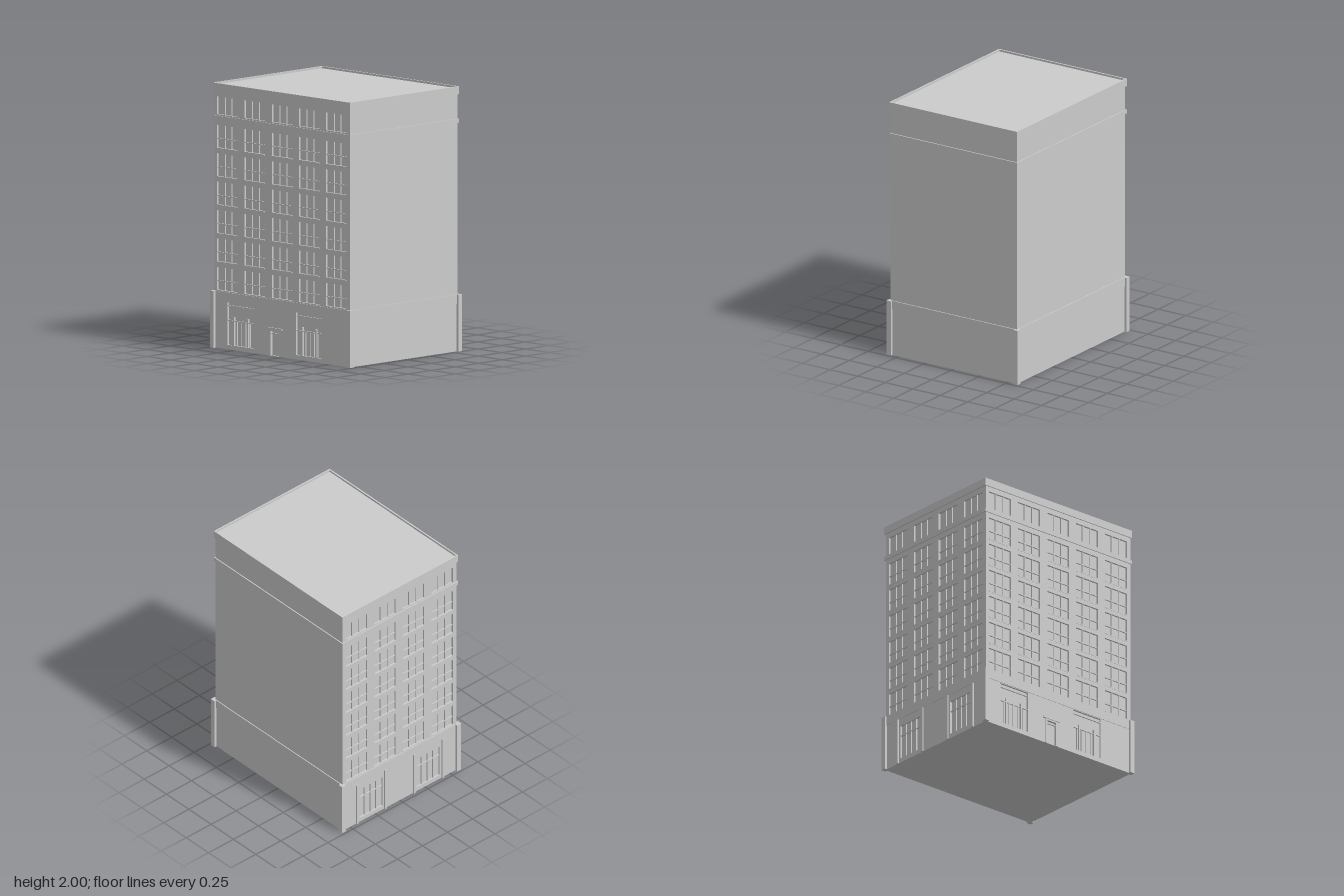
import * as THREE from 'three';

const stone = new THREE.MeshStandardMaterial({ color: 0xcccccc });
stone.name = 'pale grey stone';

// Box given by its minimum and maximum corners
function box(parent, name, [x0, y0, z0], [x1, y1, z1]) {
  const mesh = new THREE.Mesh(new THREE.BoxGeometry(x1 - x0, y1 - y0, z1 - z0), stone);
  mesh.position.set((x0 + x1) / 2, (y0 + y1) / 2, (z0 + z1) / 2);
  mesh.name = name;
  parent.add(mesh);
  return mesh;
}

function rect(Type, x0, y0, x1, y1) {
  return new Type([[x0, y0], [x1, y0], [x1, y1], [x0, y1]].map(p => new THREE.Vector2(...p)));
}

const DEPTH = 0.015;

// Wall sheet with rectangular openings; its outer face lies at local z = plane
function pierced(parent, name, half, y0, y1, plane, openings) {
  const shape = rect(THREE.Shape, -half, y0, half, y1);
  shape.holes = openings.map(o => rect(THREE.Path, ...o));
  const mesh = new THREE.Mesh(new THREE.ExtrudeGeometry(shape, { depth: DEPTH, bevelEnabled: false }), stone);
  mesh.position.z = plane - DEPTH;
  mesh.name = name;
  parent.add(mesh);
}

// Evenly spaced vertical bars and optional rails inside an opening
function glazing(parent, name, [x0, y0, x1, y1], plane, panes, rails = []) {
  const back = plane - DEPTH, front = plane - 0.005, t = 0.004;
  for (let i = 1; i < panes; i++) {
    const x = x0 + (x1 - x0) * i / panes;
    box(parent, name + 'Mullion', [x - t, y0, back], [x + t, y1, front]);
  }
  for (const y of rails) box(parent, name + 'Rail', [x0, y - t, back], [x1, y + t, front]);
}

// Six rows of windows with a row of attic panels above
function upperFacade(parent, half, plane, columns) {
  const windows = [], attic = [];
  for (const c of columns) {
    for (let row = 0; row < 6; row++) {
      const y = 0.435 + row * 0.2145;
      windows.push([c - 0.107, y, c + 0.107, y + 0.177]);
    }
    attic.push([c - 0.107, 1.765, c + 0.107, 1.9]);
  }
  pierced(parent, 'upperWall', half, 0.42, 1.95, plane, [...windows, ...attic]);
  for (const w of windows) {
    glazing(parent, 'window', w, plane, 3, [w[1] + 0.073]);
    box(parent, 'windowSill', [w[0], w[1] - 0.004, plane - DEPTH], [w[2], w[1] + 0.004, plane + 0.002]);
  }
  for (const a of attic) glazing(parent, 'attic', a, plane, 3);
}

export function createModel() {
  const model = new THREE.Group();
  model.name = 'officeBuilding';

  // Solid core and base behind the two pierced walls
  box(model, 'core', [-0.695, 0.4, -0.572], [0.711, 1.96, 0.558]);
  box(model, 'base', [-0.7, 0, -0.575], [0.715, 0.37, 0.56]);

  // Horizontal bands
  box(model, 'baseBand', [-0.719, 0.36, -0.579], [0.719, 0.43, 0.579]);
  box(model, 'ledge', [-0.72, 1.725, -0.58], [0.72, 1.755, 0.58]);

  // Parapet ring and sunken roof
  const ring = rect(THREE.Shape, -0.72, -0.58, 0.72, 0.58);
  ring.holes.push(rect(THREE.Path, -0.708, -0.568, 0.708, 0.568));
  const parapet = new THREE.Mesh(new THREE.ExtrudeGeometry(ring, { depth: 0.06, bevelEnabled: false }), stone);
  parapet.rotation.x = -Math.PI / 2;
  parapet.position.y = 1.94;
  parapet.name = 'parapet';
  model.add(parapet);
  box(model, 'roof', [-0.71, 1.94, -0.57], [0.71, 1.985, 0.57]);

  // Corner posts
  for (const sx of [-1, 1]) for (const sz of [-1, 1]) {
    const post = box(model, 'cornerPost', [-0.02, 0, -0.02], [0.02, 0.43, 0.02]);
    post.position.x = sx * 0.715;
    post.position.z = sz * 0.575;
  }

  // Front wall: five window bays, two shop windows and the door
  const front = new THREE.Group();
  front.name = 'frontFacade';
  upperFacade(front, 0.711, 0.573, [-0.573, -0.287, 0, 0.284, 0.57]);
  const shops = [-0.435, 0.283].map(c => [c - 0.135, 0.035, c + 0.135, 0.355]);
  const doorway = [-0.112, 0.003, -0.025, 0.188];
  pierced(front, 'groundWall', 0.715, 0, 0.365, 0.575, [...shops, doorway]);
  for (const s of shops) {
    const c = (s[0] + s[2]) / 2;
    glazing(front, 'shopWindow', s, 0.575, 1, [0.22, 0.33]);
    for (const d of [-0.073, 0.073])
      box(front, 'shopPost', [c + d - 0.005, 0.035, 0.56], [c + d + 0.005, 0.25, 0.574]);
    glazing(front, 'shopPane', [s[0], 0.035, s[2], 0.22], 0.573, 6);
  }
  glazing(front, 'door', doorway, 0.575, 1, [0.17]);
  for (const x of [-0.13, -0.025]) box(front, 'doorJamb', [x, 0, 0.56], [x + 0.018, 0.2, 0.58]);
  box(front, 'doorLintel', [-0.13, 0.188, 0.56], [-0.007, 0.202, 0.58]);
  box(front, 'doorHood', [-0.152, 0.2, 0.56], [0.005, 0.215, 0.585]);
  model.add(front);

  // Side wall with openings: four bays, pilasters and two wide windows
  const side = new THREE.Group();
  side.name = 'sideFacade';
  side.rotation.y = -Math.PI / 2;
  upperFacade(side, 0.572, 0.711, [-0.43, -0.145, 0.14, 0.427]);
  const wide = [-0.287, 0.284].map(c => [c - 0.115, 0.035, c + 0.115, 0.3]);
  pierced(side, 'groundWall', 0.575, 0, 0.365, 0.715, wide);
  for (const w of wide) glazing(side, 'wideWindow', w, 0.715, 4, [0.22]);
  for (const z of [-0.43, -0.147, 0.141, 0.428])
    box(side, 'pilaster', [z - 0.011, 0, 0.7], [z + 0.011, 0.36, 0.726]);
  model.add(side);

  return model;
}
